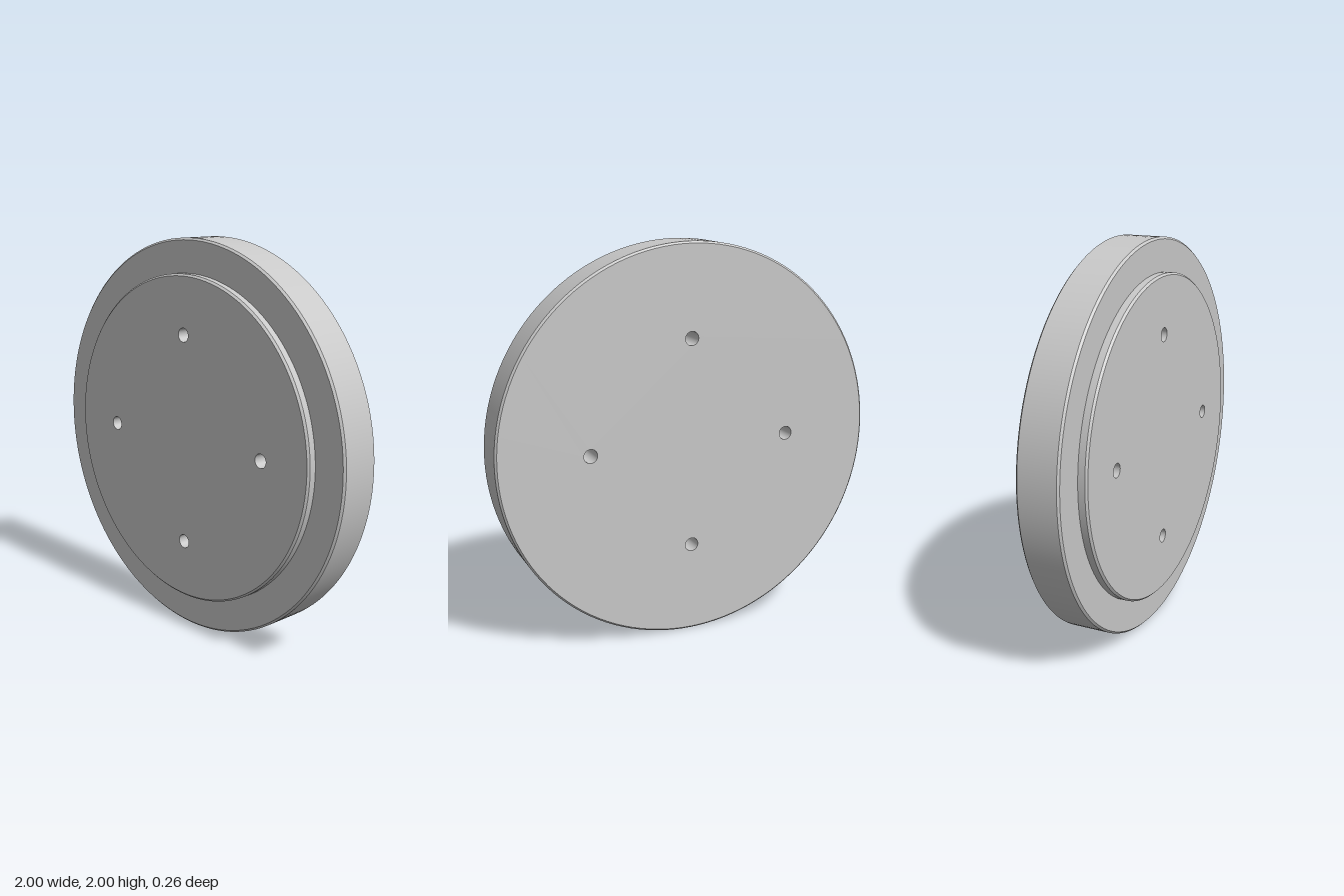
import * as THREE from 'three';
import { mergeGeometries } from 'three/addons/utils/BufferGeometryUtils.js';

const BACK = -0.13, STEP = 0.085, FRONT = 0.13;   // z of the three flat faces
const R = 1, R_STEP = 0.83, BEVEL = 0.01;
const HOLE_R = 0.035, HOLE_RING = 0.533;

// Surface of revolution about z from [radius, z] points, with a sharp edge at each point
function turned(points, segments) {
  const bands = [];
  for (let i = 0; i < points.length - 1; i++) {
    const pair = [points[i], points[i + 1]].map(([r, z]) => new THREE.Vector2(r, z));
    bands.push(new THREE.LatheGeometry(pair, segments));
  }
  return mergeGeometries(bands).rotateX(Math.PI / 2);
}

const holeCentres = [0, 1, 2, 3].map(i => [
  HOLE_RING * Math.cos(i * Math.PI / 2), HOLE_RING * Math.sin(i * Math.PI / 2)]);

// Flat round face pierced by the four bolt holes
function drilledFace(radius) {
  const shape = new THREE.Shape().absarc(0, 0, radius, 0, Math.PI * 2);
  for (const [x, y] of holeCentres) {
    shape.holes.push(new THREE.Path().absarc(x, y, HOLE_R, 0, Math.PI * 2, true));
  }
  return new THREE.ShapeGeometry(shape, 64);
}

export function createModel() {
  const group = new THREE.Group();
  const grey = new THREE.MeshStandardMaterial({ color: 0xc8c8c8 });
  grey.name = 'light grey';
  const add = (name, geometry) => {
    const mesh = new THREE.Mesh(geometry, grey);
    mesh.name = name;
    mesh.position.y = 1;
    group.add(mesh);
    return mesh;
  };

  // Wide disc: bevelled rim and the flat shoulder around the step
  add('discRim', turned([
    [R - BEVEL, BACK], [R, BACK + BEVEL], [R, STEP - BEVEL], [R - BEVEL, STEP], [R_STEP, STEP],
  ], 128));

  // Raised step on the front
  add('stepRim', turned([
    [R_STEP, STEP], [R_STEP, FRONT - BEVEL], [R_STEP - BEVEL, FRONT],
  ], 128));

  // Flat faces
  add('frontFace', drilledFace(R_STEP - BEVEL).translate(0, 0, FRONT));
  add('backFace', drilledFace(R - BEVEL).rotateY(Math.PI).translate(0, 0, BACK));

  // Bolt hole walls, facing inward
  for (const [x, y] of holeCentres) {
    add('boltHole', turned([[HOLE_R, FRONT], [HOLE_R, BACK]], 64).translate(x, y, 0));
  }
  return group;
}
